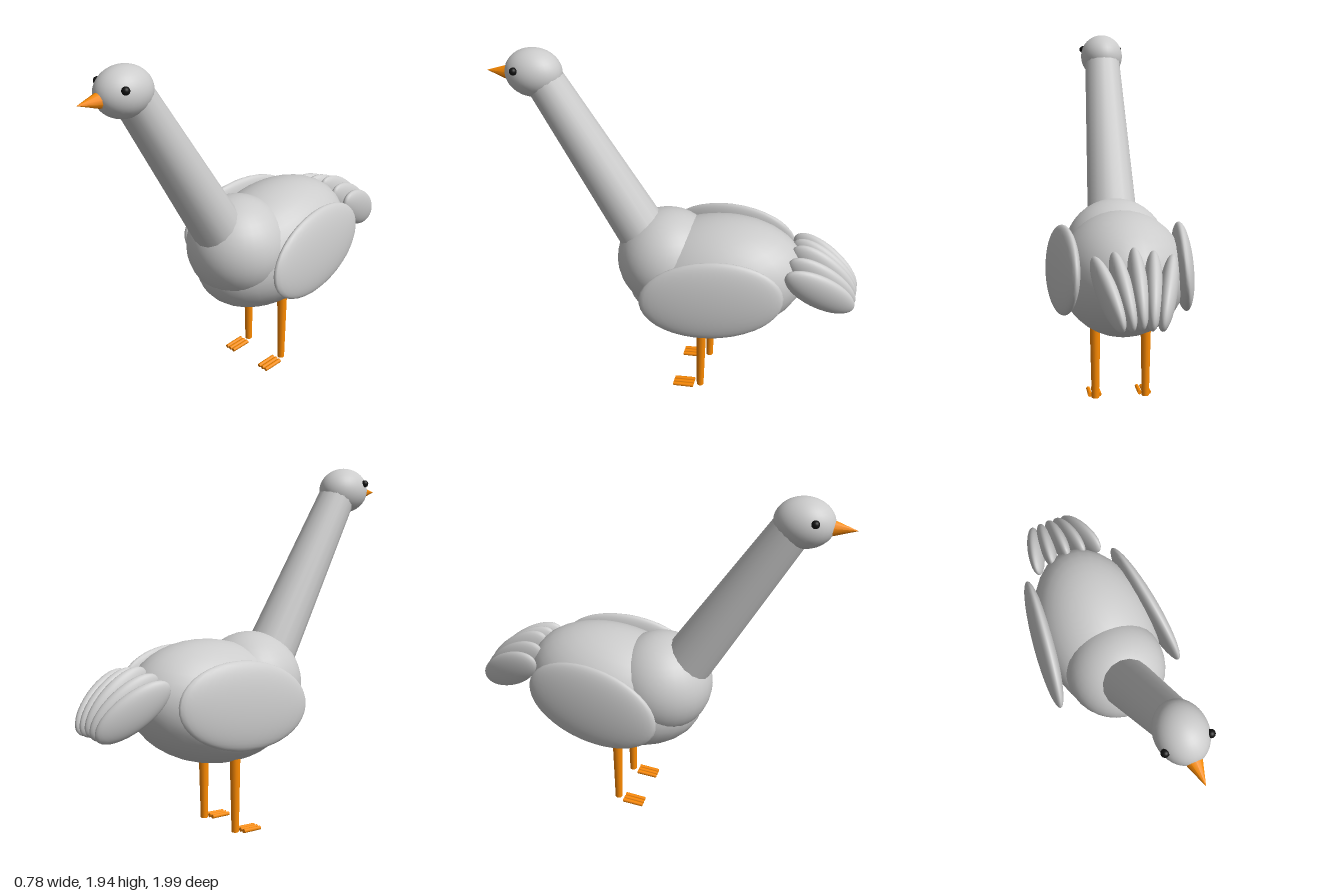
import * as THREE from 'three';

const grey = new THREE.MeshStandardMaterial({ color: 0xcccccc });
const orange = new THREE.MeshStandardMaterial({ color: 0xff8c00 });
const black = new THREE.MeshStandardMaterial({ color: 0x111111 });

export function createModel() {
  const model = new THREE.Group();
  model.name = 'longNeckedBird';

  const add = (name, geometry, material, position, rotation = [0, 0, 0]) => {
    const mesh = new THREE.Mesh(geometry, material);
    mesh.name = name;
    mesh.position.set(...position);
    mesh.rotation.set(...rotation);
    model.add(mesh);
    return mesh;
  };

  // Sphere stretched to the given half sizes
  const ellipsoid = (name, radii, position, rotation, material = grey) =>
    add(name, new THREE.SphereGeometry(1, 32, 20).scale(...radii), material, position, rotation);

  // Tapered round bar between two points
  const bar = (name, from, to, rFrom, rTo, segments, material) => {
    const a = new THREE.Vector3(...from);
    const b = new THREE.Vector3(...to);
    const dir = b.clone().sub(a);
    const geometry = new THREE.CylinderGeometry(rTo, rFrom, dir.length(), segments);
    const mesh = add(name, geometry, material, a.clone().add(b).multiplyScalar(0.5).toArray());
    mesh.quaternion.setFromUnitVectors(new THREE.Vector3(0, 1, 0), dir.normalize());
    return mesh;
  };

  // Body, breast, neck and head
  ellipsoid('body', [0.33, 0.33, 0.5], [0, 0.725, -0.22], [0.21, 0, 0]);
  ellipsoid('breast', [0.28, 0.28, 0.28], [0, 0.79, 0.045]);
  bar('neck', [0, 0.79, 0.1], [0, 1.79, 0.7], 0.146, 0.102, 16, grey);
  ellipsoid('head', [0.123, 0.125, 0.15], [0, 1.815, 0.745]);

  // Beak
  add('beak', new THREE.ConeGeometry(0.047, 0.14, 10), orange, [0, 1.803, 0.93], [Math.PI / 2, 0, 0]);

  // Paired parts
  for (const [side, s] of [['left', 1], ['right', -1]]) {
    ellipsoid(`${side}Eye`, [0.02, 0.02, 0.02], [s * 0.107, 1.855, 0.81], [0, 0, 0], black);
    ellipsoid(`${side}Wing`, [0.055, 0.23, 0.38], [s * 0.315, 0.765, -0.255], [0.12, s * 0.127, s * 0.065]);

    // Leg with three forward toes
    bar(`${side}Leg`, [s * 0.137, 0.02, -0.175], [s * 0.137, 0.5, -0.175], 0.02, 0.03, 12, orange);
    for (let i = -1; i <= 1; i++) {
      const x = s * 0.137 + i * 0.026;
      bar(`${side}Toe`, [x, 0.02, -0.138], [x, 0.011, -0.022], 0.012, 0.011, 8, orange);
    }
  }

  // Tail feathers, drawn together towards the tip
  for (let i = -2; i <= 2; i++) {
    const k = Math.abs(i) / 2;
    ellipsoid('tailFeather', [0.045, 0.1, 0.22],
      [i * 0.07, 0.815 - 0.025 * k, -0.81 + 0.005 * k],
      [-0.7 + 0.1 * k, i * 0.12, 0]);
  }

  return model;
}
